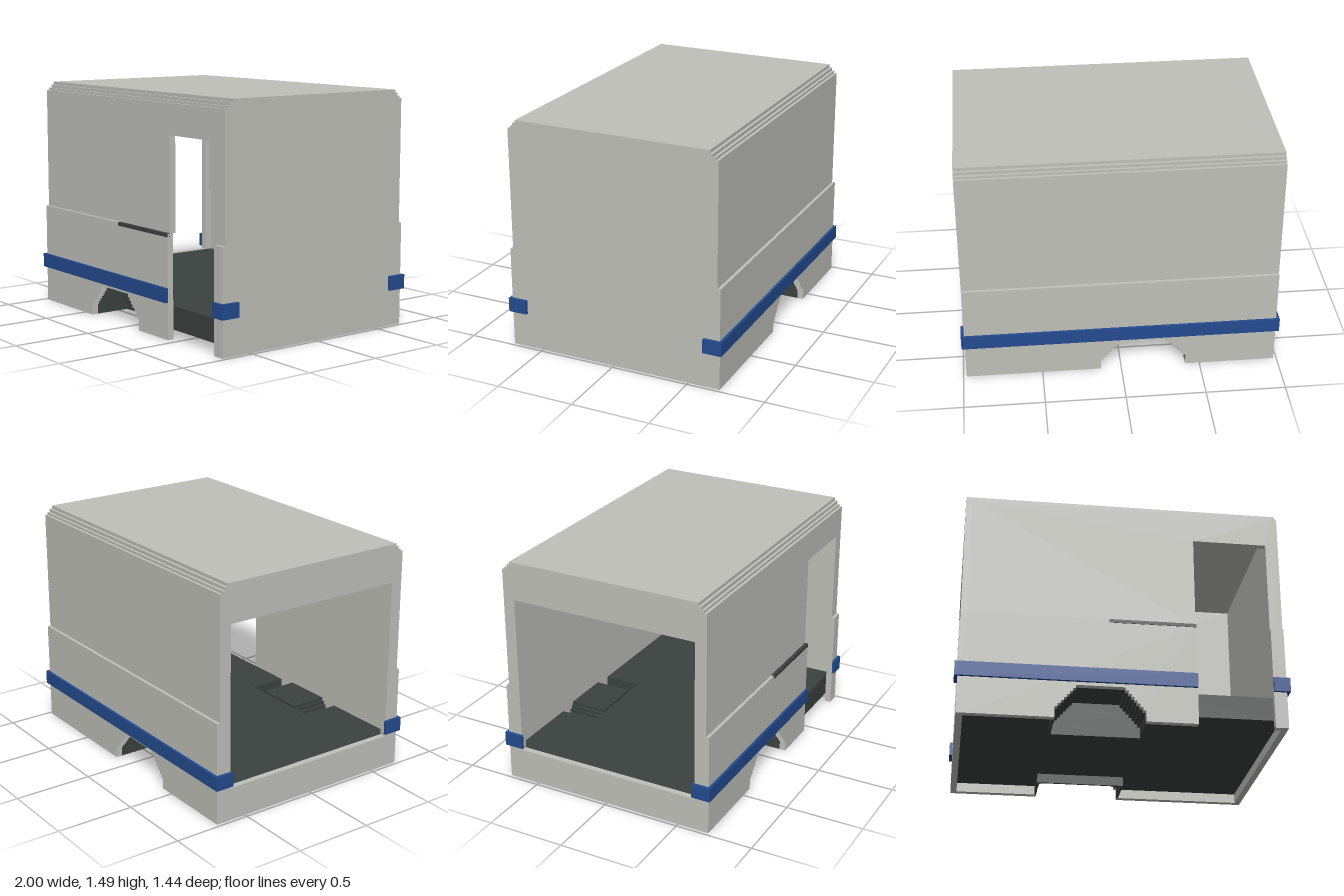
import * as THREE from 'three';

const paint = (name, color) => {
  const m = new THREE.MeshStandardMaterial({ color });
  m.name = name;
  return m;
};

export function createModel() {
  const grey = paint('body grey', 0xc0c0ba);
  const dark = paint('dark trim', 0x3b4240);
  const blue = paint('band blue', 0x234b8f);
  const model = new THREE.Group();
  model.name = 'vanBody';

  const add = (name, geometry, material) => {
    const mesh = new THREE.Mesh(geometry, material);
    mesh.name = name;
    model.add(mesh);
    return mesh;
  };
  // box given by its two corners
  const box = (name, material, x0, x1, y0, y1, z0, z1) => {
    const mesh = add(name, new THREE.BoxGeometry(x1 - x0, y1 - y0, z1 - z0), material);
    mesh.position.set((x0 + x1) / 2, (y0 + y1) / 2, (z0 + z1) / 2);
    return mesh;
  };
  const outline = (pts) => new THREE.Shape(pts.map(([x, y]) => new THREE.Vector2(x, y)));
  const extrude = (pts, depth) =>
    new THREE.ExtrudeGeometry(outline(pts), { depth, bevelEnabled: false });

  const T = 0.04;               // wall thickness
  const END = 0.98, IN = 0.94;  // outer and inner end of the body
  const LOW = 0.705, UP = 0.685; // outer half depth below and above the ledge
  const LEDGE = 0.65, EAVE = 1.43;
  const DOOR0 = 0.44, DOOR1 = 0.9, DOOR_TOP = 1.24;
  const WHEEL_X = -0.14;

  // stepped wheel arch, running from its -x foot to its +x foot
  const arch = (grow) => {
    const half = [[0.27 + grow, 0]];
    const steps = 8;
    for (let i = 0; i < steps; i++) {
      const x = 0.27 + grow - (i * 0.14) / steps;
      const y = 0.07 + (i * 0.14) / (steps - 1) + grow;
      half.push([x, y]);
      if (i < steps - 1) half.push([x - 0.14 / steps, y]);
    }
    return [
      ...half.map(([x, y]) => [WHEEL_X - x, y]),
      ...half.reverse().map(([x, y]) => [WHEEL_X + x, y]),
    ];
  };

  // long walls: lower skirt with wheel notch, upper panel set inward
  for (const side of [1, -1]) {
    const front = side > 0;
    const place = (name, pts, outer) =>
      add(name, extrude(pts, T), grey).position.z = front ? outer - T : -outer;
    const label = front ? 'front' : 'back';
    const right = front ? DOOR0 : IN;
    place(label + 'LowerWall',
      [[-IN, 0], ...arch(0), [right, 0], [right, LEDGE], [-IN, LEDGE]], LOW);
    const upper = front
      ? [[-IN, LEDGE], [DOOR0, LEDGE], [DOOR0, DOOR_TOP], [DOOR1, DOOR_TOP], [DOOR1, LEDGE], [IN, LEDGE]]
      : [[-IN, LEDGE], [IN, LEDGE]];
    place(label + 'UpperWall', [...upper, [IN, EAVE], [-IN, EAVE]], UP);
  }
  box('doorPost', grey, DOOR1, IN, 0, LEDGE, LOW - T, LOW);

  // stepped roof, given as [half depth, bottom, top]
  const roof = [[0.667, EAVE, 1.445], [0.65, 1.445, 1.465], [0.632, 1.465, 1.485]];
  for (const [z, y0, y1] of roof) box('roofLayer', grey, -IN, IN, y0, y1, -z, z);

  // end walls share the stepped cross-section
  const section = [[LOW, 0], [LOW, LEDGE], [UP, LEDGE], [UP, EAVE]];
  for (const [z, y0, y1] of roof) section.push([z, y0], [z, y1]);
  const endPts = [...section, ...section.map(([z, y]) => [-z, y]).reverse()];
  const endWall = (name, x, opening) => {
    const shape = outline(endPts);
    if (opening) shape.holes.push(outline(opening));
    const g = new THREE.ExtrudeGeometry(shape, { depth: T, bevelEnabled: false });
    add(name, g.rotateY(Math.PI / 2), grey).position.x = x;
  };
  endWall('closedEndWall', IN);
  endWall('openEndWall', -END,
    [[-0.61, 0.21], [-0.61, DOOR_TOP], [0.61, DOOR_TOP], [0.61, 0.21]]);

  // floor slab, cut out around both wheel arches
  const F = LOW - T, CUT = 0.42, a = WHEEL_X - 0.283, b = WHEEL_X + 0.283;
  const floor = extrude([
    [-IN, -F], [a, -F], [a, -CUT], [b, -CUT], [b, -F], [IN, -F],
    [IN, F], [b, F], [b, CUT], [a, CUT], [a, F], [-IN, F],
  ], 0.147);
  add('floor', floor.rotateX(-Math.PI / 2), dark).position.y = 0.06;

  // wheel wells: stepped shell closed by an inner panel
  for (const side of [1, -1]) {
    const shell = extrude([...arch(0.012), ...arch(0).reverse()], F - CUT);
    add('wheelWell', shell, dark).position.z = side > 0 ? CUT : -F;
    const panel = extrude(arch(0), 0.015);
    add('wheelWellPanel', panel, dark).position.z = side > 0 ? CUT : -CUT - 0.015;
  }

  // sliding door rail on the ledge
  box('doorRail', dark, -0.09, DOOR0, 0.63, 0.652, UP, LOW + 0.003);

  // bumper band with returns around the four corners
  const Y0 = 0.23, Y1 = 0.32, OUT = 0.722;
  box('frontBand', blue, -END, DOOR0, Y0, Y1, LOW, OUT);
  box('frontBandShort', blue, DOOR1, END, Y0, Y1, LOW, OUT);
  box('backBand', blue, -END, END, Y0, Y1, -OUT, -LOW);
  for (const sx of [1, -1]) {
    for (const sz of [1, -1]) {
      const corner = box('bandCorner', blue, END, 1, Y0, Y1, 0.6, OUT);
      corner.position.x *= sx;
      corner.position.z *= sz;
    }
  }
  return model;
}
